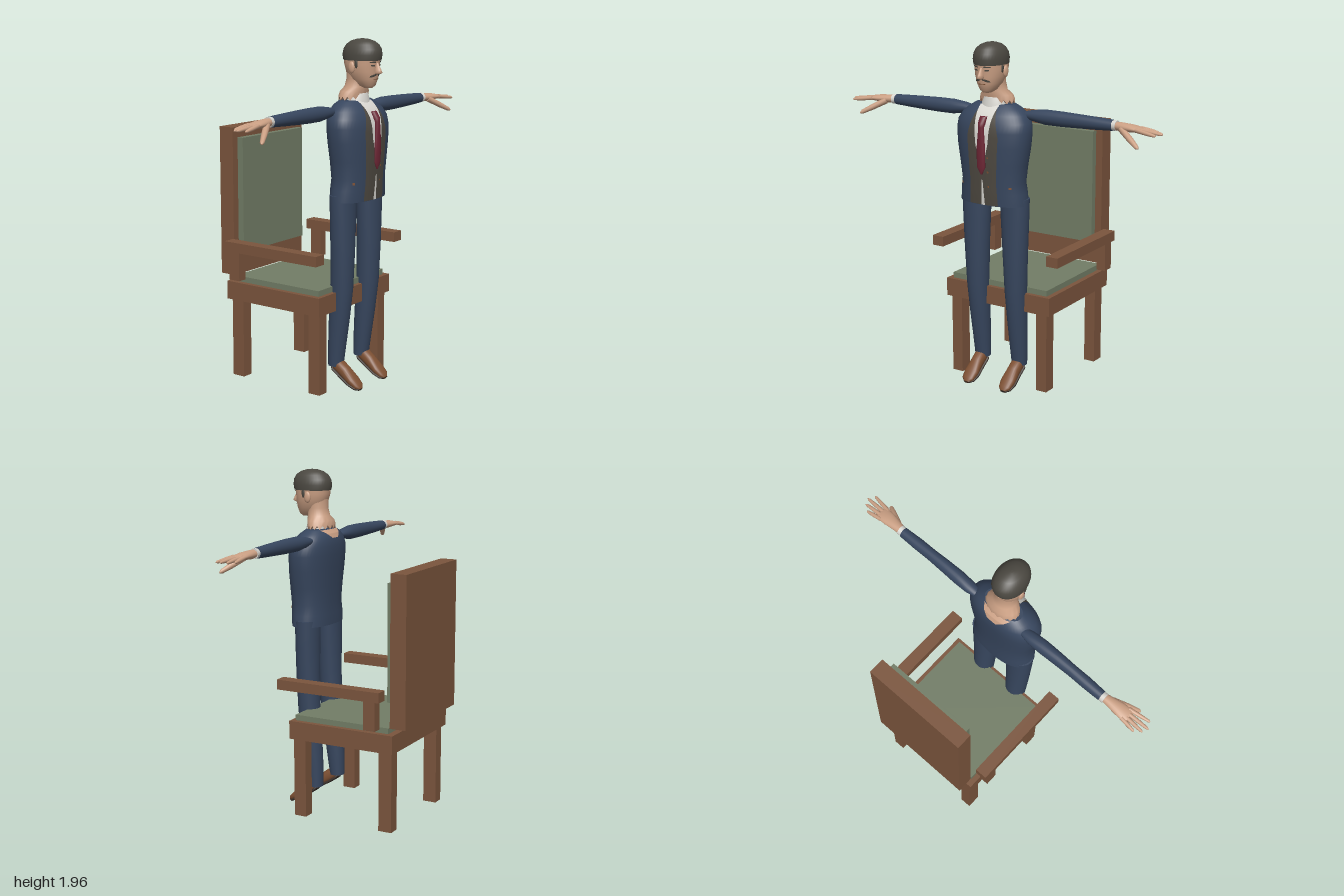
import * as THREE from 'three';

const mat = (name, color) => {
  const m = new THREE.MeshStandardMaterial({ color });
  m.name = name;
  return m;
};

// Stacked superellipse sections; ring = [y, centreX, halfWidth, zBack, zFront]
function loft(rings, n = 2, segs = 32, zigzag = 0) {
  const pos = [], idx = [];
  const pow = (v) => Math.sign(v) * Math.abs(v) ** (2 / n);
  const addRing = ([y, cx, hw, zb, zf], jag) => {
    for (let j = 0; j < segs; j++) {
      const a = (j / segs) * Math.PI * 2;
      pos.push(cx + hw * pow(Math.cos(a)), y - (j % 2) * jag, (zb + zf) / 2 + ((zf - zb) / 2) * pow(Math.sin(a)));
    }
  };
  rings.forEach((r, i) => addRing(r, i === 0 ? zigzag : 0));
  for (let i = 0; i < rings.length - 1; i++) {
    for (let j = 0; j < segs; j++) {
      const a = i * segs + j, b = i * segs + ((j + 1) % segs);
      idx.push(a, a + segs, b, b, a + segs, b + segs);
    }
  }
  // Flat end caps with their own vertices
  [rings[0], rings[rings.length - 1]].forEach((r, end) => {
    const start = pos.length / 3;
    addRing(r, end === 0 ? zigzag : 0);
    pos.push(r[1], r[0], (r[3] + r[4]) / 2);
    for (let j = 0; j < segs; j++) {
      const a = start + j, b = start + ((j + 1) % segs);
      idx.push(start + segs, end ? b : a, end ? a : b);
    }
  });
  return makeGeometry(pos, idx);
}

function makeGeometry(pos, idx) {
  const g = new THREE.BufferGeometry();
  g.setAttribute('position', new THREE.Float32BufferAttribute(pos, 3));
  g.setIndex(idx);
  g.computeVertexNormals();
  return g;
}

// Linear look-up in a table sorted by its first column
function sample(table, y) {
  let i = 0;
  while (i < table.length - 2 && y > table[i + 1][0]) i++;
  const t = (y - table[i][0]) / (table[i + 1][0] - table[i][0]);
  return table[i].map((v, k) => v + (table[i + 1][k] - v) * t);
}

// Thin sheet following a loft; edges = [y, xLeft, xRight], side 1 front or -1 back
function patch(rings, n, edges, offset, side = 1, rows = 24, cols = 12) {
  const pos = [], idx = [];
  const y0 = edges[0][0], y1 = edges[edges.length - 1][0];
  for (let i = 0; i <= rows; i++) {
    const y = y0 + ((y1 - y0) * i) / rows;
    const [, l, r] = sample(edges, y);
    const [, cx, hw, zb, zf] = sample(rings, y);
    for (let j = 0; j <= cols; j++) {
      const x = l + ((r - l) * j) / cols;
      const u = Math.min(1, Math.abs((x - cx) / hw));
      pos.push(x, y, (zb + zf) / 2 + side * (((zf - zb) / 2) * (1 - u ** n) ** (1 / n) + offset));
      if (i < rows && j < cols) {
        const a = i * (cols + 1) + j, b = a + 1, c = a + cols + 1, d = c + 1;
        if (side > 0) idx.push(a, b, c, b, d, c);
        else idx.push(a, c, b, b, c, d);
      }
    }
  }
  return makeGeometry(pos, idx);
}

function mirrored(geometry) {
  const g = geometry.clone().scale(-1, 1, 1);
  const ix = g.index.array;
  for (let i = 0; i < ix.length; i += 3) [ix[i], ix[i + 1]] = [ix[i + 1], ix[i]];
  return g;
}

// Tapered finger between two points
function finger(a, b, r) {
  const from = new THREE.Vector3(...a), dir = new THREE.Vector3(...b).sub(from), len = dir.length();
  const g = loft([[0, 0, r, -r, r], [len * 0.55, 0, r * 0.9, -r * 0.9, r * 0.9],
    [len * 0.92, 0, r * 0.65, -r * 0.65, r * 0.65], [len, 0, r * 0.2, -r * 0.2, r * 0.2]], 2, 10);
  g.applyQuaternion(new THREE.Quaternion().setFromUnitVectors(new THREE.Vector3(0, 1, 0), dir.normalize()));
  return g.translate(...a);
}

export function createModel() {
  const wood = mat('wood', 0x7b553d), green = mat('upholstery', 0x727d66), navy = mat('suit navy', 0x37465e);
  const skin = mat('skin', 0xcba084), hairMat = mat('hair', 0x4b4841), vestMat = mat('waistcoat', 0x4e4941);
  const white = mat('shirt', 0xd9d7d1), red = mat('tie red', 0x6e2635), leather = mat('shoe leather', 0x7d5033);
  const soleMat = mat('sole', 0x3d332d);

  const model = new THREE.Group(), chair = new THREE.Group(), figure = new THREE.Group();
  chair.name = 'chair';
  figure.name = 'figure';
  model.add(chair, figure);
  const add = (parent, name, g, m) => {
    const mesh = new THREE.Mesh(g, m);
    mesh.name = name;
    parent.add(mesh);
  };
  const pair = (parent, name, g, m) => {
    add(parent, name + 'Left', g, m);
    add(parent, name + 'Right', mirrored(g), m);
  };
  const box = (x0, x1, y0, y1, z0, z1) =>
    new THREE.BoxGeometry(x1 - x0, y1 - y0, z1 - z0).translate((x0 + x1) / 2, (y0 + y1) / 2, (z0 + z1) / 2);

  // Armchair
  add(chair, 'seatFrame', box(-0.345, 0.345, 0.46, 0.565, -0.38, 0.275), wood);
  add(chair, 'seatCushion', box(-0.315, 0.315, 0.565, 0.597, -0.34, 0.25), green);
  add(chair, 'backPanel', box(-0.317, 0.317, 0.597, 1.45, -0.445, -0.35), wood);
  add(chair, 'backCushion', box(-0.275, 0.275, 0.73, 1.39, -0.35, -0.312), green);
  pair(chair, 'frontLeg', box(0.253, 0.32, 0, 0.46, 0.185, 0.26), wood);
  pair(chair, 'backLeg', box(0.253, 0.32, 0, 0.46, -0.363, -0.283), wood);
  pair(chair, 'armrest', box(0.345, 0.417, 0.76, 0.817, -0.333, 0.308), wood);
  pair(chair, 'armPost', box(0.355, 0.41, 0.597, 0.76, -0.306, -0.235), wood);

  // Jacket, waistcoat, shirt and tie
  const torso = [
    [1.075, 0, 0.205, 0.178, 0.395], [1.14, 0, 0.2, 0.178, 0.4], [1.2, 0, 0.19, 0.18, 0.403],
    [1.3, 0, 0.203, 0.175, 0.408], [1.4, 0, 0.22, 0.168, 0.41], [1.48, 0, 0.226, 0.163, 0.408],
    [1.53, 0, 0.22, 0.163, 0.398], [1.57, 0, 0.195, 0.168, 0.378], [1.6, 0, 0.16, 0.182, 0.352], [1.622, 0, 0.12, 0.205, 0.325],
  ];
  add(figure, 'jacket', loft(torso, 2.3, 48), navy);
  const onTorso = (name, edges, off, m, side) => add(figure, name, patch(torso, 2.3, edges, off, side), m);
  onTorso('waistcoat', [[1.078, -0.09, 0.09], [1.2, -0.083, 0.083], [1.46, -0.098, 0.098], [1.53, -0.08, 0.08], [1.61, -0.055, 0.055]], 0.003, vestMat);
  onTorso('shirtFront', [[1.27, -0.004, 0.004], [1.42, -0.04, 0.04], [1.52, -0.048, 0.048], [1.62, -0.06, 0.06]], 0.006, white);
  onTorso('shirtHem', [[1.078, -0.012, 0.012], [1.22, -0.003, 0.003]], 0.006, white);
  onTorso('napeSkin', [[1.575, -0.03, 0.03], [1.6, -0.065, 0.065], [1.62, -0.09, 0.09]], 0.005, skin, -1);
  add(figure, 'tie', loft([[1.25, 0, 0.004, 0.41, 0.42], [1.29, 0, 0.027, 0.408, 0.428], [1.4, 0, 0.026, 0.405, 0.432],
    [1.51, 0, 0.016, 0.395, 0.43], [1.53, 0, 0.022, 0.385, 0.428], [1.565, 0, 0.022, 0.37, 0.405]], 2, 16), red);
  for (const y of [1.18, 1.26, 1.34]) onTorso('waistcoatButton', [[y, 0.033, 0.043], [y + 0.01, 0.033, 0.043]], 0.007, leather);
  for (const x of [-0.155, 0.155]) onTorso('jacketButton', [[1.175, x - 0.006, x + 0.006], [1.187, x - 0.006, x + 0.006]], 0.005, leather);
  add(figure, 'collar', loft([[1.58, 0, 0.08, 0.22, 0.35], [1.625, 0, 0.07, 0.23, 0.345], [1.66, 0, 0.06, 0.225, 0.337]], 2, 24), white);

  // Trousers and shoes
  pair(figure, 'trouserLeg', loft([[0.125, 0.125, 0.044, 0.19, 0.275], [0.25, 0.125, 0.05, 0.19, 0.293], [0.4, 0.126, 0.056, 0.196, 0.315],
    [0.58, 0.127, 0.062, 0.208, 0.336], [0.8, 0.127, 0.072, 0.213, 0.343], [1, 0.126, 0.082, 0.212, 0.345], [1.11, 0.125, 0.086, 0.21, 0.345]], 2.1, 28), navy);
  const shoe = [[0, 0, 0.024, -0.03, 0.018], [0.02, 0, 0.036, -0.048, 0.025], [0.08, 0, 0.036, -0.045, 0.026],
    [0.15, 0, 0.044, -0.03, 0.02], [0.195, 0, 0.036, -0.02, 0.015], [0.215, 0, 0.015, -0.008, 0.008]];
  const placeShoe = (g) => g.rotateX(2.15).translate(0.125, 0.133, 0.225);
  pair(figure, 'shoe', placeShoe(loft(shoe, 2.3, 24)), leather);
  pair(figure, 'sole', placeShoe(loft(shoe.map(([t, x, w, , f]) => [t, x, w + 0.002, f - 0.014, f + 0.004]), 3, 24)), soleMat);

  // Sleeves, cuffs and hands; sections run outward along x
  const alongX = (rings) => loft(rings.map(([x, y, h, zb, zf]) => [x, -y, h, zb, zf]), 2, 24).rotateZ(-Math.PI / 2);
  pair(figure, 'sleeve', alongX([[0.16, 1.568, 0.016, 0.215, 0.265], [0.22, 1.568, 0.03, 0.203, 0.275], [0.3, 1.567, 0.041, 0.203, 0.28],
    [0.4, 1.567, 0.041, 0.207, 0.278], [0.5, 1.567, 0.038, 0.21, 0.274], [0.6, 1.567, 0.034, 0.208, 0.274], [0.705, 1.567, 0.029, 0.21, 0.268]]), navy);
  pair(figure, 'cuff', alongX([[0.69, 1.567, 0.026, 0.214, 0.264], [0.728, 1.567, 0.028, 0.211, 0.268]]), white);
  pair(figure, 'palm', alongX([[0.71, 1.567, 0.021, 0.218, 0.264], [0.76, 1.565, 0.024, 0.214, 0.274], [0.82, 1.565, 0.02, 0.207, 0.286],
    [0.865, 1.563, 0.014, 0.206, 0.288], [0.885, 1.562, 0.008, 0.21, 0.282]]), skin);
  [[0.216, 0.205, 0.95], [0.237, 0.232, 0.985], [0.258, 0.264, 1], [0.279, 0.302, 0.98]].forEach(([z0, z1, tip], i) =>
    pair(figure, 'finger' + (i + 1), finger([0.855, 1.564, z0], [tip, i === 2 ? 1.553 : 1.55, z1], 0.012), skin));
  pair(figure, 'thumb', finger([0.765, 1.557, 0.262], [0.9, 1.483, 0.337], 0.018), skin);

  // Neck and head
  add(figure, 'neck', loft([[1.645, 0, 0.105, 0.187, 0.325], [1.67, 0, 0.094, 0.19, 0.332], [1.695, 0, 0.066, 0.21, 0.336],
    [1.74, 0, 0.061, 0.222, 0.34], [1.79, 0, 0.066, 0.218, 0.36]], 2, 32, 0.022), skin);
  const head = [[1.69, 0, 0.022, 0.33, 0.375], [1.705, 0, 0.043, 0.28, 0.393], [1.74, 0, 0.064, 0.245, 0.403], [1.78, 0, 0.077, 0.222, 0.408],
    [1.82, 0, 0.083, 0.21, 0.41], [1.87, 0, 0.084, 0.205, 0.418]];
  add(figure, 'head', loft(head, 2.2, 36), skin);
  add(figure, 'hair', loft([[1.84, 0, 0.086, 0.203, 0.422], [1.87, 0, 0.088, 0.197, 0.428], [1.9, 0, 0.083, 0.203, 0.425], [1.925, 0, 0.071, 0.22, 0.41],
    [1.943, 0, 0.051, 0.247, 0.383], [1.953, 0, 0.027, 0.28, 0.35], [1.956, 0, 0.006, 0.308, 0.322]], 2.1, 36), hairMat);
  add(figure, 'nose', loft([[1.768, 0, 0.01, 0.39, 0.43], [1.776, 0, 0.017, 0.39, 0.444], [1.79, 0, 0.013, 0.39, 0.436], [1.828, 0, 0.007, 0.39, 0.416]], 2, 14), skin);
  pair(figure, 'ear', new THREE.SphereGeometry(1, 14, 10).scale(0.011, 0.032, 0.02).translate(0.083, 1.803, 0.3), skin);
  pair(figure, 'sideburn', new THREE.SphereGeometry(1, 12, 8).scale(0.006, 0.026, 0.01).translate(0.081, 1.825, 0.328), hairMat);
  const onFace = (name, edges) => patch(head, 2.2, edges, 0.004, 1, 6, 8);
  pair(figure, 'moustache', onFace('m', [[1.752, 0.03, 0.046], [1.76, 0.008, 0.042], [1.768, 0.001, 0.018]]), hairMat);
  pair(figure, 'eyebrow', onFace('b', [[1.829, 0.016, 0.05], [1.836, 0.02, 0.056]]), hairMat);
  pair(figure, 'eye', onFace('e', [[1.81, 0.024, 0.042], [1.818, 0.022, 0.046]]), hairMat);
  add(figure, 'mouth', onFace('l', [[1.738, -0.02, 0.02], [1.742, -0.024, 0.024]]), leather);

  return model;
}
